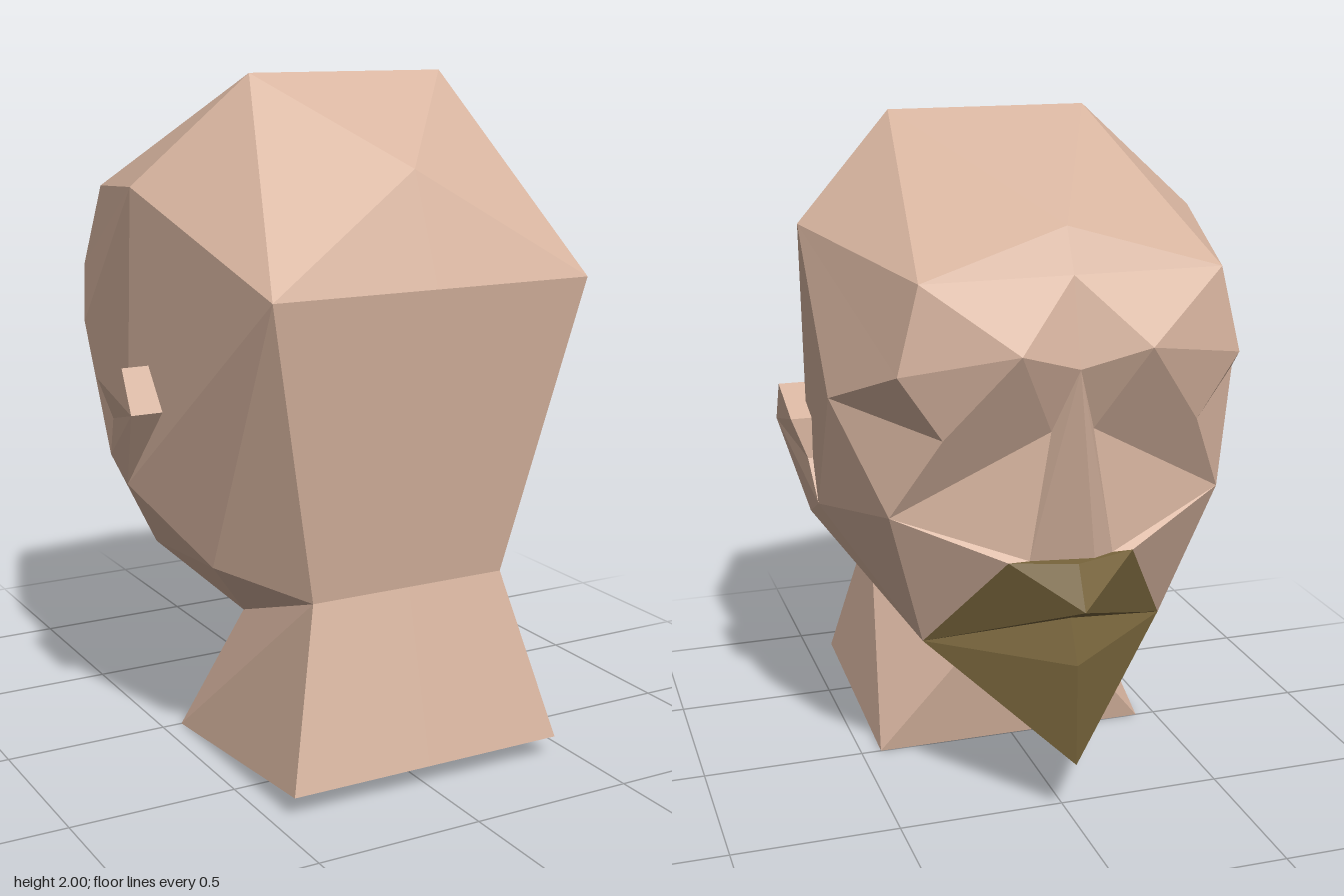
import * as THREE from 'three';

// Corner points of the left half; the other half is mirrored
const P = {
  // skull
  top: [0.3125, 2, 0.25], crown: [0, 1.75, 0.625], backUp: [0.5, 1.4375, 0.75],
  side: [0.625, 1.6875, 0.125], nape: [0.3125, 0.5625, 0.625], hair: [0, 1.75, -0.5],
  // face
  fore: [0.4375, 1.625, -0.5625], browTop: [0, 1.625, -0.5625], brow: [0.1875, 1.4375, -0.6875],
  browEnd: [0.5, 1.375, -0.5625], temple: [0.625, 1.25, -0.25], bridge: [0, 1.375, -0.625],
  eyeIn: [0.0625, 1.1875, -0.5625], eyeOut: [0.375, 1.1875, -0.5625], cheek: [0.5, 0.9375, -0.4375],
  noseTip: [0, 0.875, -0.75], nostril: [0.125, 0.8125, -0.5625],
  // jaw
  hinge: [0.625, 0.875, -0.0625], lobe: [0.625, 0.8125, 0.0625], jawBack: [0.5, 0.625, 0.375],
  jaw: [0.1875, 0.3125, -0.0625], jawFront: [0.375, 0.5, -0.3125],
  // beard
  lipEnd: [0.1875, 0.8125, -0.5625], lipTop: [0, 0.8125, -0.625], tache: [0, 0.6875, -0.6875],
  mouth: [0, 0.625, -0.5625], lip: [0, 0.5, -0.625], chin: [0, 0.1875, -0.625],
  // neck
  neckBack: [0.4375, 0.0625, 0.75], neckFront: [0.4375, 0, 0],
  // ear
  earTop: [0.6875, 1.1875, 0.1875], earBack: [0.6875, 1.0625, 0.25],
  earFront: [0.6875, 1.125, 0], earLow: [0.64, 1, 0],
  rootTop: [0.56, 1.1875, 0.1875], rootBack: [0.56, 1.0625, 0.25],
  rootFront: [0.56, 1.125, 0], rootLow: [0.56, 1, 0],
};

// "name0" is the point moved onto the centre line
const point = (n) => (n.endsWith('0') ? [0, ...P[n.slice(0, -1)].slice(1)] : P[n]);

// Fan each polygon into triangles, on one side (sign 1) or mirrored (sign -1)
function fan(faces, sign, out) {
  for (const face of faces) {
    const pts = face.split(' ').map(point);
    for (let i = 1; i < pts.length - 1; i++) {
      const tri = [pts[0], pts[i], pts[i + 1]];
      if (sign < 0) tri.reverse();
      for (const [x, y, z] of tri) out.push(x * sign, y, z);
    }
  }
}

function mesh(name, material, faces, signs = [1, -1]) {
  const pos = [];
  signs.forEach((s) => fan(faces, s, pos));
  const geo = new THREE.BufferGeometry();
  geo.setAttribute('position', new THREE.Float32BufferAttribute(pos, 3));
  geo.computeVertexNormals();
  const m = new THREE.Mesh(geo, material);
  m.name = name;
  return m;
}

export function createModel() {
  const options = { flatShading: true, side: THREE.DoubleSide };
  const skin = new THREE.MeshStandardMaterial({ color: 0xd8b5a0, ...options });
  skin.name = 'skin';
  const hair = new THREE.MeshStandardMaterial({ color: 0x78653c, ...options });
  hair.name = 'beard hair';

  const model = new THREE.Group();
  model.name = 'head';

  // Skull: top, back and sides
  model.add(mesh('skull', skin, [
    'top backUp side', 'top side fore', 'top fore hair', 'top hair top0',
    'top0 crown top', 'crown backUp top', 'crown backUp0 backUp', 'backUp0 nape0 nape backUp',
    'backUp nape jawBack', 'backUp jawBack lobe', 'backUp lobe side',
    'side lobe hinge temple', 'side temple browEnd', 'side browEnd fore',
  ]));

  // Forehead and brows with their undersides
  model.add(mesh('brow', skin, [
    'hair fore browTop', 'browTop fore brow', 'fore browEnd brow', 'browTop brow bridge',
    'brow browEnd eyeOut', 'brow eyeOut eyeIn', 'brow eyeIn bridge', 'temple eyeOut browEnd',
  ]));

  // Cheeks
  model.add(mesh('cheeks', skin, [
    'eyeIn eyeOut cheek', 'eyeIn cheek nostril', 'nostril cheek lipEnd', 'lipEnd cheek jawFront',
    'temple cheek eyeOut', 'hinge cheek temple', 'hinge jawFront cheek', 'lobe jawFront hinge',
  ]));

  // Jaw
  model.add(mesh('jaw', skin, ['nape jaw jawBack', 'jawBack jaw jawFront lobe']));

  // Nose
  model.add(mesh('nose', skin, [
    'bridge eyeIn nostril', 'bridge nostril noseTip', 'noseTip nostril nostril0',
  ]));

  // Moustache and beard
  model.add(mesh('moustache', hair, [
    'lipEnd0 lipEnd lipTop', 'lipTop lipEnd tache', 'lipEnd jawFront tache', 'tache jawFront mouth',
  ]));
  model.add(mesh('beard', hair, [
    'mouth jawFront lip', 'lip jawFront chin', 'chin jawFront jaw', 'chin jaw jaw0',
  ]));

  // Neck, open at the bottom
  model.add(mesh('neck', skin, [
    'nape0 neckBack0 neckBack nape', 'nape neckBack neckFront jaw', 'jaw neckFront neckFront0 jaw0',
  ]));

  // Ears
  const ear = [
    'earTop earBack earFront', 'earBack earLow earFront', 'earBack lobe hinge earLow',
    'earTop rootTop rootBack earBack', 'earTop earFront rootFront rootTop',
    'earFront earLow rootLow rootFront', 'earBack rootBack lobe', 'earLow hinge rootLow',
  ];
  model.add(mesh('leftEar', skin, ear, [1]), mesh('rightEar', skin, ear, [-1]));

  return model;
}
